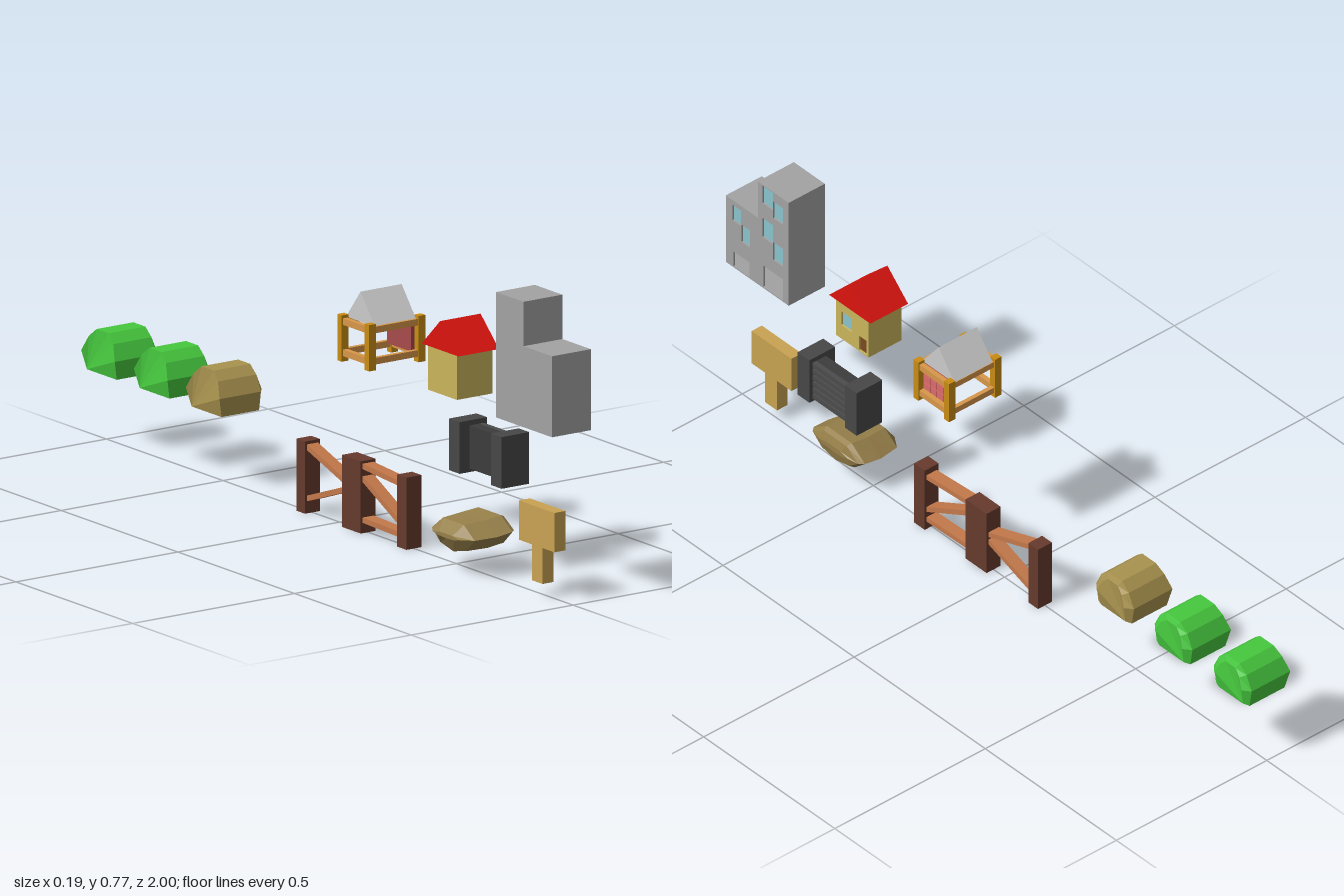
import * as THREE from 'three';

const mats = {};
function mat(color) {
  return (mats[color] ??= new THREE.MeshStandardMaterial({ color, flatShading: true }));
}

function add(parent, name, geo, color) {
  const m = new THREE.Mesh(geo, mat(color));
  m.name = name;
  parent.add(m);
  return m;
}

function group(parent, name) {
  const g = new THREE.Group();
  g.name = name;
  parent.add(g);
  return g;
}

// Box given by its limits on each axis
function box(parent, name, color, [x0, x1], [y0, y1], [z0, z1]) {
  const m = add(parent, name, new THREE.BoxGeometry(x1 - x0, y1 - y0, z1 - z0), color);
  m.position.set((x0 + x1) / 2, (y0 + y1) / 2, (z0 + z1) / 2);
  return m;
}

// Faceted solid through [x, y, z] sections ordered along +x, with capped ends
function loft(sections) {
  const pos = [];
  const tri = (a, b, c) => pos.push(...a, ...b, ...c);
  const n = sections[0].length;
  for (let s = 0; s < sections.length - 1; s++) {
    const A = sections[s], B = sections[s + 1];
    for (let i = 0; i < n; i++) {
      const j = (i + 1) % n;
      tri(A[i], A[j], B[j]);
      tri(A[i], B[j], B[i]);
    }
  }
  const first = sections[0], last = sections.at(-1);
  for (let i = 1; i < n - 1; i++) {
    tri(last[0], last[i], last[i + 1]);
    tri(first[0], first[i + 1], first[i]);
  }
  const g = new THREE.BufferGeometry();
  g.setAttribute('position', new THREE.Float32BufferAttribute(pos, 3));
  g.computeVertexNormals();
  return g;
}

// Gable roof with its ridge along x
function roof(parent, color, [x0, x1], [y0, y1], [z0, z1]) {
  const at = x => [[x, y0, z0], [x, y1, (z0 + z1) / 2], [x, y0, z1]];
  add(parent, 'roof', loft([at(x0), at(x1)]), color);
}

// Wall block whose +x face has shallow recessed openings [z0, z1, y0, y1, color, name]
function wallBlock(parent, name, color, [x0, x1], [y0, y1], [z0, z1], openings) {
  const depth = 0.006;
  const rect = (C, a, b, c, d) => {
    const s = new C();
    s.moveTo(-b, c); s.lineTo(-a, c); s.lineTo(-a, d); s.lineTo(-b, d); s.closePath();
    return s;
  };
  box(parent, name, color, [x0, x1 - depth], [y0, y1], [z0, z1]);
  const shape = rect(THREE.Shape, z0, z1, y0, y1);
  for (const [a, b, c, d, col, label] of openings) {
    shape.holes.push(rect(THREE.Path, a, b, c, d));
    box(parent, label, col, [x1 - depth - 0.002, x1 - depth + 0.001], [c, d], [a, b]);
  }
  const geo = new THREE.ExtrudeGeometry(shape, { depth, bevelEnabled: false });
  geo.rotateY(Math.PI / 2);
  geo.translate(x1 - depth, 0, 0);
  add(parent, name + 'Face', geo, color);
}

// Beam in the yz plane between two [z, y] points
function beam(parent, name, color, [za, ya], [zb, yb], h, w, x = 0) {
  const m = add(parent, name, new THREE.BoxGeometry(w, h, Math.hypot(zb - za, yb - ya)), color);
  m.position.set(x, (ya + yb) / 2, (za + zb) / 2);
  m.rotation.x = -Math.atan2(yb - ya, zb - za);
}

export function createModel() {
  const root = new THREE.Group();
  root.name = 'villageSet';
  const GLASS = 0x8cc4cc, GREY = 0xa3a3a3, DOOR = 0xb2b2b2;

  // Two joined grey town blocks
  const tower = group(root, 'townBuilding');
  wallBlock(tower, 'tallBlock', GREY, [-0.065, 0.055], [0.445, 0.77], [0.76, 0.878], [
    [0.82, 0.86, 0.712, 0.77 - 0.003, GLASS, 'window'], [0.782, 0.819, 0.688, 0.74, GLASS, 'window'],
    [0.82, 0.86, 0.605, 0.665, GLASS, 'window'], [0.782, 0.819, 0.556, 0.612, GLASS, 'window'],
    [0.782, 0.857, 0.449, 0.516, DOOR, 'door']]);
  wallBlock(tower, 'lowBlock', GREY, [-0.065, 0.055], [0.445, 0.655], [0.878, 1], [
    [0.941, 0.974, 0.592, 0.64, GLASS, 'window'], [0.907, 0.94, 0.543, 0.597, GLASS, 'window'],
    [0.91, 0.97, 0.449, 0.495, DOOR, 'door']]);

  // Cottage with red roof
  const house = group(root, 'cottage');
  wallBlock(house, 'cottageWalls', 0xcab65c, [-0.06, 0.05], [0.452, 0.572], [0.461, 0.586], [
    [0.525, 0.565, 0.495, 0.538, GLASS, 'window'], [0.469, 0.498, 0.455, 0.5, 0x7a4a22, 'door']]);
  roof(house, 0xdd140f, [-0.069, 0.056], [0.57, 0.645], [0.447, 0.605]);

  // Open shelter: posts, rails, brick panel and roof
  const shelter = group(root, 'shelter');
  const WOOD = 0xc98c14, RAIL = 0xd8974a;
  for (const x of [-0.094, 0.059])
    for (const z of [0.12, 0.237])
      box(shelter, 'post', WOOD, [x, x + 0.021], [0.46, 0.58], [z, z + 0.019]);
  for (const [a, b] of [[0.474, 0.491], [0.555, 0.572]]) {
    for (const x of [-0.09, 0.062])
      box(shelter, 'sideRail', RAIL, [x, x + 0.014], [a, b], [0.135, 0.24]);
    for (const z of [0.123, 0.241])
      box(shelter, 'endRail', RAIL, [-0.075, 0.062], [a, b], [z, z + 0.012]);
  }
  box(shelter, 'brickPanel', 0xa84a4a, [0.048, 0.058], [0.486, 0.56], [0.137, 0.239]);
  for (let r = 0; r < 3; r++)
    for (let c = 0; c < 4; c++) {
      const y = 0.488 + r * 0.024, z = 0.139 + c * 0.025;
      box(shelter, 'brick', 0xdc6a6a, [0.056, 0.062], [y, y + 0.022], [z, z + 0.023]);
    }
  roof(shelter, 0xcccccc, [-0.069, 0.058], [0.57, 0.648], [0.123, 0.247]);

  // Dark slatted gate
  const gate = group(root, 'darkGate');
  for (const z of [0.455, 0.635])
    box(gate, 'gatePost', 0x474747, [0.01, 0.095], [0.231, 0.365], [z, z + 0.045]);
  box(gate, 'gatePanel', 0x3c3c3c, [0.04, 0.072], [0.24, 0.352], [0.5, 0.635]);
  for (let i = 0; i < 6; i++) {
    const y = 0.24 + i * 0.0196;
    box(gate, 'slat', 0x4c4c4c, [0.07, 0.085], [y, y + 0.014], [0.5, 0.635]);
  }

  // Signpost
  const sign = group(root, 'signpost');
  box(sign, 'signBoard', 0xc8a352, [-0.023, 0.011], [0.13, 0.232], [0.8, 0.952]);
  box(sign, 'signPole', 0xc8a352, [-0.023, 0.011], [0.037, 0.13], [0.855, 0.901]);

  // Flat boulder
  const lens = [[-0.102, 0], [-0.05, 0.037], [0.05, 0.037], [0.102, 0.004],
    [0.062, -0.032], [0, -0.045], [-0.062, -0.032]];
  const slice = (x, sz, sy, dy) => lens.map(([z, y]) => [x, 0.102 + dy + y * sy, 0.573 + z * sz]);
  add(root, 'boulder', loft([slice(-0.085, 0.55, 0.14, -0.001), slice(-0.062, 0.9, 0.95, -0.002),
    slice(0, 1, 1, 0), slice(0.05, 0.96, 1, 0.005), slice(0.063, 0.85, 0.82, 0.006),
    slice(0.07, 0.55, 0.2, 0.007)]), 0x97804a);

  // Wooden fence: two bays of rails between brown posts
  const fence = group(root, 'woodFence');
  for (const [a, b] of [[0.278, 0.318], [0.08, 0.122], [0.042, 0.08], [-0.154, -0.117]])
    box(fence, 'fencePost', 0x663a2c, [-0.023, 0.023], [0, 0.187], [a, b]);
  const rails = [
    [[0.285, 0.162], [0.11, 0.174]], [[0.285, 0.03], [0.11, 0.034]], [[0.285, 0.058], [0.11, 0.146]],
    [[0.06, 0.112], [-0.125, 0.174]], [[0.06, 0.102], [-0.125, 0.036]]];
  for (const [a, b] of rails) beam(fence, 'fenceRail', 0xc4784a, a, b, 0.014, 0.034);

  // Row of rounded mounds: one hay, two bushes
  const arch = [[-0.064, 0.193], [-0.072, 0.243], [-0.052, 0.283], [-0.026, 0.305],
    [0.026, 0.305], [0.052, 0.283], [0.072, 0.243], [0.064, 0.193]];
  const mounds = [['hayMound', -0.479, 0xa8924e], ['bush', -0.702, 0x46c83e], ['bush', -0.928, 0x46c83e]];
  for (const [name, cz, color] of mounds) {
    const left = arch.map(([z, y]) => [-0.078 + 0.24 * Math.abs(y - 0.243), y, cz + z]);
    const right = arch.map(([z, y]) => [0.05, y, cz + z]);
    const tip = arch.map(([z, y]) => [0.068 - 0.2 * Math.abs(y - 0.25), 0.243 + (y - 0.243) * (y < 0.243 ? 1 : 0.75), cz + z * 0.72]);
    add(root, name, loft([left, right, tip]), color);
  }
  return root;
}
